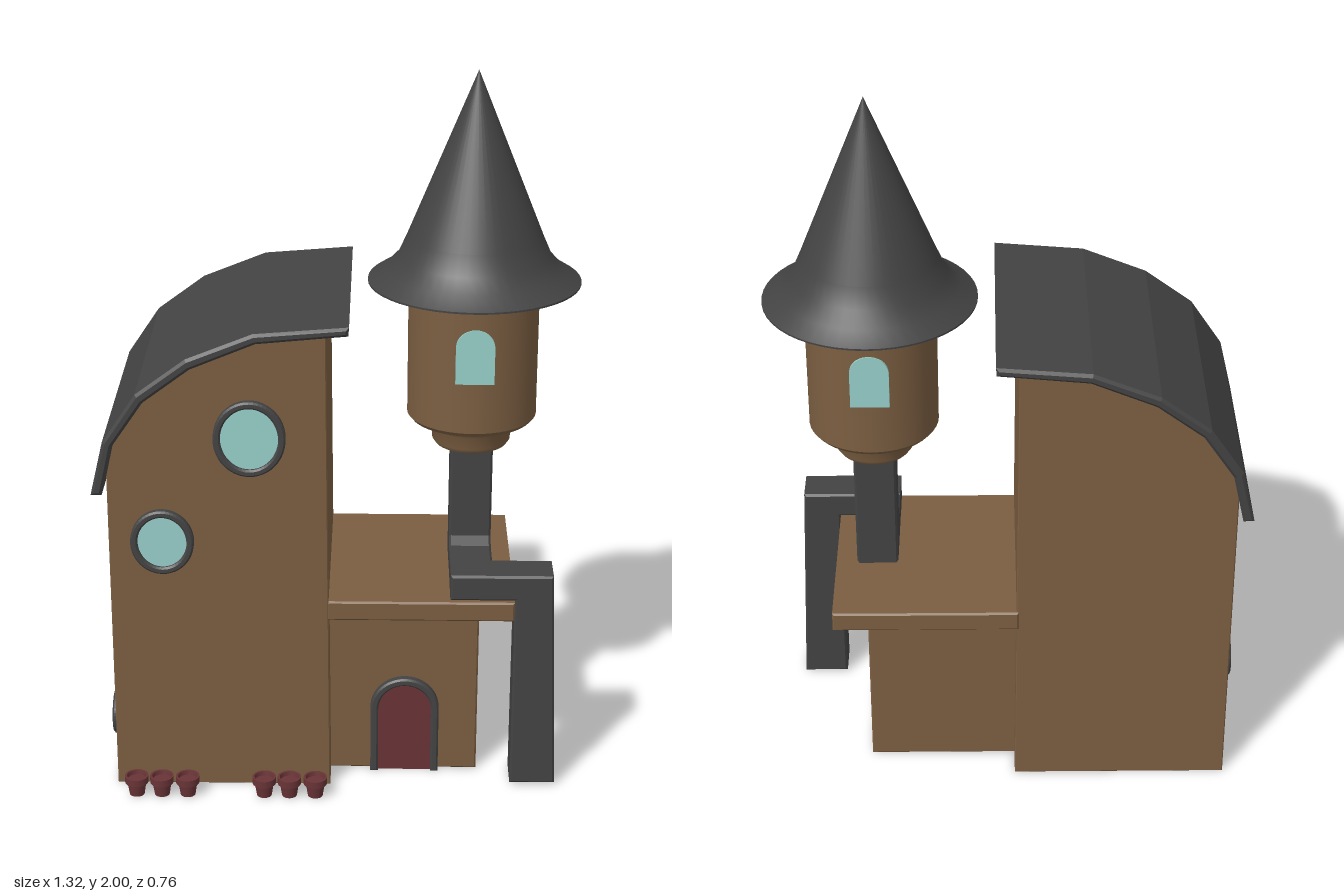
import * as THREE from 'three';

const mat = (name, color, side = THREE.FrontSide) => {
  const m = new THREE.MeshStandardMaterial({ color, side });
  m.name = name;
  return m;
};

export function createModel() {
  const group = new THREE.Group();
  const brown = mat('brown wall', 0x7b5e41);
  const dark = mat('dark grey trim', 0x434343);
  const glass = mat('pale blue glass', 0x97cfca);
  const maroon = mat('maroon', 0x693437, THREE.DoubleSide);

  const add = (name, geometry, material, parent = group) => {
    const mesh = new THREE.Mesh(geometry, material);
    mesh.name = name;
    parent.add(mesh);
    return mesh;
  };
  const poly = pts => new THREE.Shape(pts.map(p => new THREE.Vector2(...p)));
  // Extrudes a shape between two depths, with a small bevel kept inside its outline
  const slab = (shape, z0, z1, b = 0.006) => new THREE.ExtrudeGeometry(shape, {
    depth: z1 - z0 - 2 * b, bevelEnabled: b > 0, bevelSize: b, bevelThickness: b,
    bevelOffset: -b, bevelSegments: 1, curveSegments: 24,
  }).translate(0, 0, z0 + b);
  const box = (x0, x1, y0, y1, z0, z1) =>
    slab(poly([[x0, y0], [x1, y0], [x1, y1], [x0, y1]]), z0, z1, 0.005);
  const ellipse = (rx, ry) => new THREE.Shape().absellipse(0, 0, rx, ry, 0, Math.PI * 2);
  // Round-topped outline standing on y = 0
  const arch = (w, h) => {
    const s = new THREE.Shape();
    s.moveTo(-w, 0);
    s.lineTo(w, 0);
    s.lineTo(w, h - w);
    s.absarc(0, h - w, w, 0, Math.PI, false);
    s.lineTo(-w, 0);
    return s;
  };

  // Tall house with a curved top
  add('houseBody', slab(poly([
    [-0.625, 0], [-0.02, 0], [-0.03, 1.38], [-0.22, 1.357], [-0.393, 1.287],
    [-0.52, 1.19], [-0.608, 1.062], [-0.625, 0.99],
  ]), -0.315, 0.283, 0.003), brown);
  add('curvedRoof', slab(poly([
    [-0.632, 0.917], [-0.6, 1.058], [-0.515, 1.183], [-0.388, 1.278], [-0.214, 1.35], [0.03, 1.373],
    [0.032, 1.398], [-0.22, 1.378], [-0.4, 1.306], [-0.535, 1.206], [-0.626, 1.07], [-0.662, 0.917],
  ]), -0.378, 0.342, 0.008), dark);

  // Oval windows: a rim and a thin pane
  const ovalWindow = (name, rx, ry, rim) => {
    const g = new THREE.Group();
    g.name = name;
    const ring = ellipse(rx, ry);
    ring.holes.push(ellipse(rx - rim, ry - rim));
    add('windowRim', slab(ring, -0.005, 0.02, 0.005), dark, g);
    add('windowPane', slab(ellipse(rx - rim + 0.004, ry - rim + 0.004), 0, 0.009, 0), glass, g);
    group.add(g);
    return g;
  };
  ovalWindow('upperWindow', 0.098, 0.108, 0.02).position.set(-0.236, 1.065, 0.283);
  ovalWindow('lowerWindow', 0.087, 0.094, 0.02).position.set(-0.478, 0.76, 0.283);
  [[0.305, -0.15], [0.155, 0.145]].forEach(([y, z]) => {
    const w = ovalWindow('sideWindow', 0.065, 0.063, 0.015);
    w.position.set(-0.625, y, z);
    w.rotation.y = -Math.PI / 2;
  });

  // Low wing with an overhanging flat roof
  add('wingBody', box(-0.03, 0.397, 0, 0.53, -0.225, 0.185), brown);
  add('wingRoof', box(-0.03, 0.49, 0.52, 0.577, -0.32, 0.282), brown);

  // Arched door and frame
  const frame = poly([[-0.097, 0], [-0.075, 0], [-0.075, 0.2]]);
  frame.absarc(0, 0.2, 0.075, Math.PI, 0, true);
  frame.lineTo(0.075, 0);
  frame.lineTo(0.097, 0);
  frame.lineTo(0.097, 0.2);
  frame.absarc(0, 0.2, 0.097, 0, Math.PI, false);
  add('doorFrame', slab(frame, 0.18, 0.208, 0.005), dark).position.x = 0.19;
  add('door', slab(arch(0.08, 0.279), 0.185, 0.194, 0), maroon).position.x = 0.19;

  // Bent square pipe that carries the turret: leg, front run, then back run and column
  add('pipeLeg', slab(poly([
    [0.49, 0.005], [0.618, 0.005], [0.595, 0.655], [0.312, 0.655], [0.312, 0.58], [0.49, 0.58],
  ]), 0.165, 0.275), dark);
  add('pipeColumn', slab(poly([
    [-0.18, 0.58], [0.075, 0.58], [0.075, 0.95], [-0.048, 0.95], [-0.048, 0.675], [-0.075, 0.655], [-0.18, 0.655],
  ]), 0.312, 0.43).rotateY(Math.PI / 2).translate(0, 0, 0), dark);

  // Round turret
  const turret = new THREE.Group();
  turret.name = 'turret';
  turret.position.set(0.37, 0, -0.016);
  group.add(turret);
  // Each run of points is its own lathe, so the edges between runs stay sharp
  const lathe = (name, runs, material, parent) => runs.forEach(pts =>
    add(name, new THREE.LatheGeometry(pts.map(p => new THREE.Vector2(...p)), 48), material, parent));
  lathe('turretWall', [
    [[0, 0.942], [0.1, 0.942]],
    [[0.1, 0.942], [0.109, 0.955], [0.111, 0.99], [0.128, 1.008]],
    [[0.128, 1.008], [0.13, 1.02]],
    [[0.13, 1.02], [0.17, 1.02]],
    [[0.17, 1.02], [0.18, 1.032]],
    [[0.18, 1.032], [0.18, 1.395]],
    [[0.18, 1.395], [0.172, 1.416]],
  ], brown, turret);
  lathe('turretRoof', [
    [[0, 1.415], [0.292, 1.415]],
    [[0.292, 1.415], [0.292, 1.42]],
    [[0.292, 1.42], [0.245, 1.45], [0.21, 1.488], [0.185, 1.545], [0.0, 2.0]],
  ], dark, turret);
  [0, Math.PI].forEach(a => {
    const w = add('turretWindow', slab(arch(0.053, 0.155), 0.173, 0.1825, 0), glass, turret);
    w.position.y = 1.177;
    w.rotation.y = a;
  });

  // Flower pots along the front wall
  const potProfile = [
    [0, 0.002], [0.021, 0.002], [0.027, 0.04], [0.033, 0.04], [0.033, 0.06], [0.027, 0.06], [0.025, 0.048], [0, 0.048],
  ];
  [-0.565, -0.494, -0.421, -0.205, -0.134, -0.061].forEach(x => {
    const pot = new THREE.Group();
    pot.name = 'flowerPot';
    pot.position.set(x, 0, 0.345);
    lathe('potSection', potProfile.slice(1).map((p, i) => [potProfile[i], p]), maroon, pot);
    group.add(pot);
  });

  return group;
}
